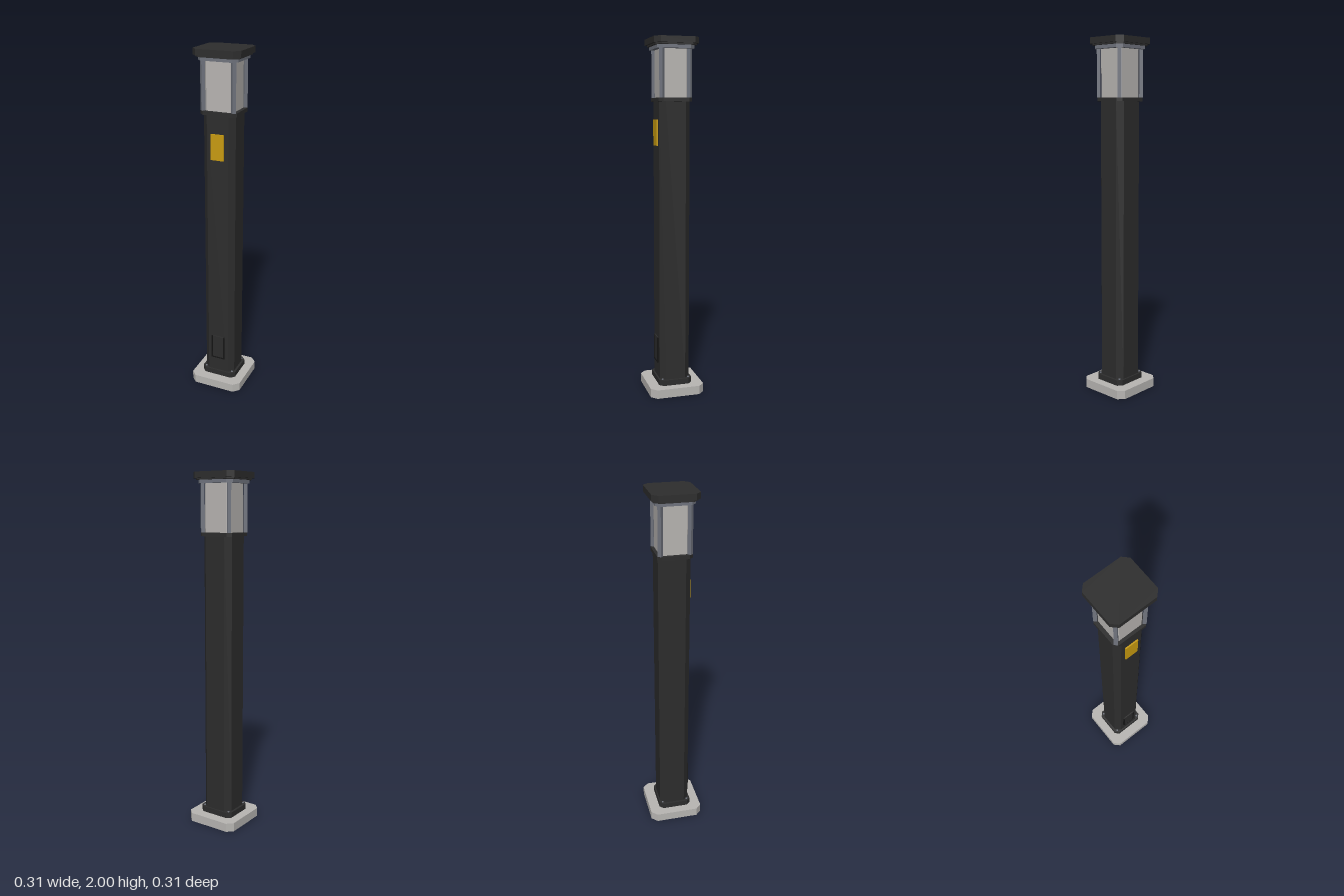
import * as THREE from 'three';

const mat = (name, color) => {
  const m = new THREE.MeshStandardMaterial({ color });
  m.name = name;
  return m;
};

export function createModel() {
  const group = new THREE.Group();
  group.name = 'bollardLight';

  const charcoal = mat('charcoal', 0x2d2d2d);
  const black = mat('black', 0x161616);
  const concrete = mat('concrete', 0xb8b6b3);
  const diffuser = mat('diffuser', 0xb8b5b2);
  const steel = mat('steel', 0x70747e);
  const amber = mat('amber', 0xc99c10);

  const add = (name, geometry, material, x = 0, y = 0, z = 0) => {
    const mesh = new THREE.Mesh(geometry, material);
    mesh.name = name;
    mesh.position.set(x, y, z);
    group.add(mesh);
    return mesh;
  };

  // Upright block with cut corners: half width, half depth, corner cut, bottom and top
  const block = (name, material, hx, hz, c, y0, y1) => {
    const shape = new THREE.Shape([
      [hx, -hz + c], [hx, hz - c], [hx - c, hz], [-hx + c, hz],
      [-hx, hz - c], [-hx, -hz + c], [-hx + c, -hz], [hx - c, -hz],
    ].map(([x, y]) => new THREE.Vector2(x, y)));
    const g = new THREE.ExtrudeGeometry(shape, { depth: y1 - y0, bevelEnabled: false });
    g.rotateX(-Math.PI / 2);
    return add(name, g, material, 0, y0, 0);
  };

  // Foundation, foot flange and post
  block('foundation', concrete, 0.156, 0.156, 0.033, 0, 0.05);
  block('footFlange', charcoal, 0.105, 0.096, 0.022, 0.05, 0.082);
  block('post', charcoal, 0.092, 0.087, 0.03, 0.082, 1.66);

  // Lantern: lower collar, diffuser, upper ring
  block('lanternCollar', charcoal, 0.104, 0.095, 0.022, 1.66, 1.68);
  block('lanternDiffuser', diffuser, 0.083, 0.078, 0.016, 1.68, 1.94);
  block('lanternRing', steel, 0.113, 0.104, 0.026, 1.94, 1.96);

  // Cap, drawn in slightly along its lower edge
  block('cap', charcoal, 0.134, 0.125, 0.03, 1.967, 2);
  block('capUnderside', charcoal, 0.124, 0.115, 0.028, 1.958, 1.967);

  // Corner rods turned diagonally, and flange bolts
  for (const sx of [-1, 1]) {
    for (const sz of [-1, 1]) {
      const rod = add('cornerRod', new THREE.BoxGeometry(0.02, 0.26, 0.02), steel, sx * 0.087, 1.81, sz * 0.078);
      rod.rotation.y = Math.PI / 4;
      add('flangeBolt', new THREE.CylinderGeometry(0.006, 0.006, 0.004, 8), steel, sx * 0.085, 0.084, sz * 0.076);
    }
  }

  // Amber plate near the top of the post
  add('signPlate', new THREE.BoxGeometry(0.076, 0.142, 0.008), amber, 0, 1.49, 0.091);

  // Access door with a dark seam on both sides and below
  add('accessDoor', new THREE.BoxGeometry(0.068, 0.144, 0.006), charcoal, 0, 0.247, 0.09);
  for (const s of [-1, 1]) {
    add('doorSeamSide', new THREE.BoxGeometry(0.008, 0.15, 0.008), black, s * 0.038, 0.244, 0.091);
  }
  add('doorSeamBottom', new THREE.BoxGeometry(0.068, 0.008, 0.008), black, 0, 0.173, 0.091);

  return group;
}
